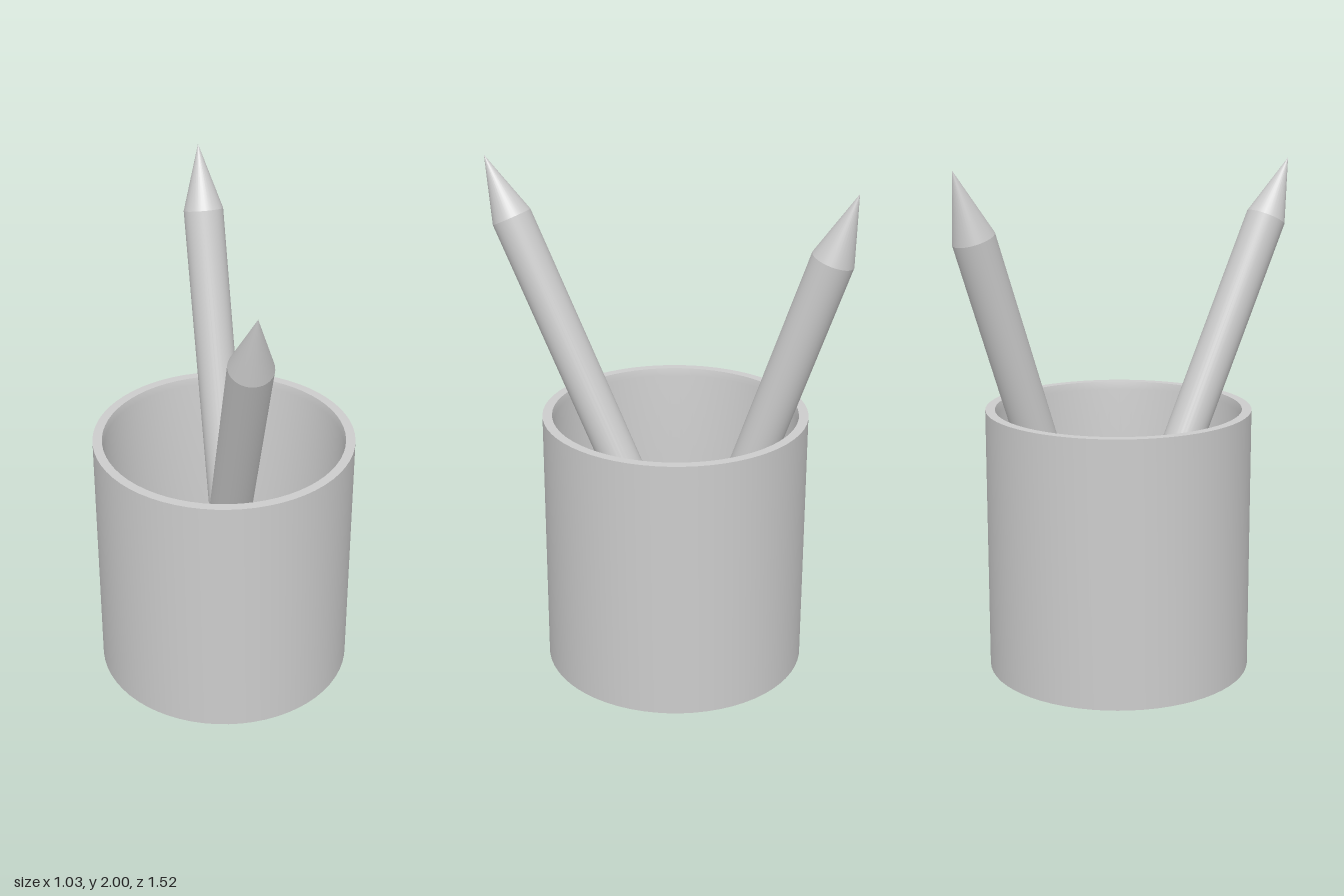
import * as THREE from 'three';
import { toCreasedNormals } from 'three/addons/utils/BufferGeometryUtils.js';

const material = new THREE.MeshStandardMaterial({ color: 0xcccccc });
const CUP_Z = -0.06;

function turned(name, profile, segments) {
  const points = profile.map(([r, y]) => new THREE.Vector2(r, y));
  const geometry = toCreasedNormals(new THREE.LatheGeometry(points, segments), 0.5);
  const mesh = new THREE.Mesh(geometry, material);
  mesh.name = name;
  return mesh;
}

// Pencil standing along the line from the centre of its flat end to its tip
function pencil(name, end, tip) {
  const from = new THREE.Vector3(...end);
  const axis = new THREE.Vector3(...tip).sub(from);
  const length = axis.length();
  const radius = 0.08;
  const shoulder = length - 0.26;

  const group = new THREE.Group();
  group.name = name;
  group.add(
    turned('pencilShaft', [[0, 0], [radius, 0], [radius, shoulder]], 32),
    turned('pencilPoint', [[radius, shoulder], [0, length]], 32),
  );
  group.position.copy(from);
  group.quaternion.setFromUnitVectors(new THREE.Vector3(0, 1, 0), axis.normalize());
  return group;
}

export function createModel() {
  const model = new THREE.Group();
  model.name = 'pencilCup';

  // Hollow cup: underside, outer wall, flat rim, narrow inner bevel, inner wall, floor
  const cup = turned('cup', [
    [0, 0.02], [0.516, 0.02], [0.516, 1.06], [0.479, 1.06],
    [0.473, 1.03], [0.473, 0.06], [0, 0.06],
  ], 64);
  cup.position.z = CUP_Z;
  model.add(cup);

  // Two pencils leaning apart; the back one pokes slightly through the floor
  model.add(
    pencil('frontPencil', [-0.03, 0.11, -0.135], [0, 1.99, 0.76]),
    pencil('backPencil', [0.068, 0.027, -0.09], [-0.01, 2.0, -0.76]),
  );
  return model;
}
